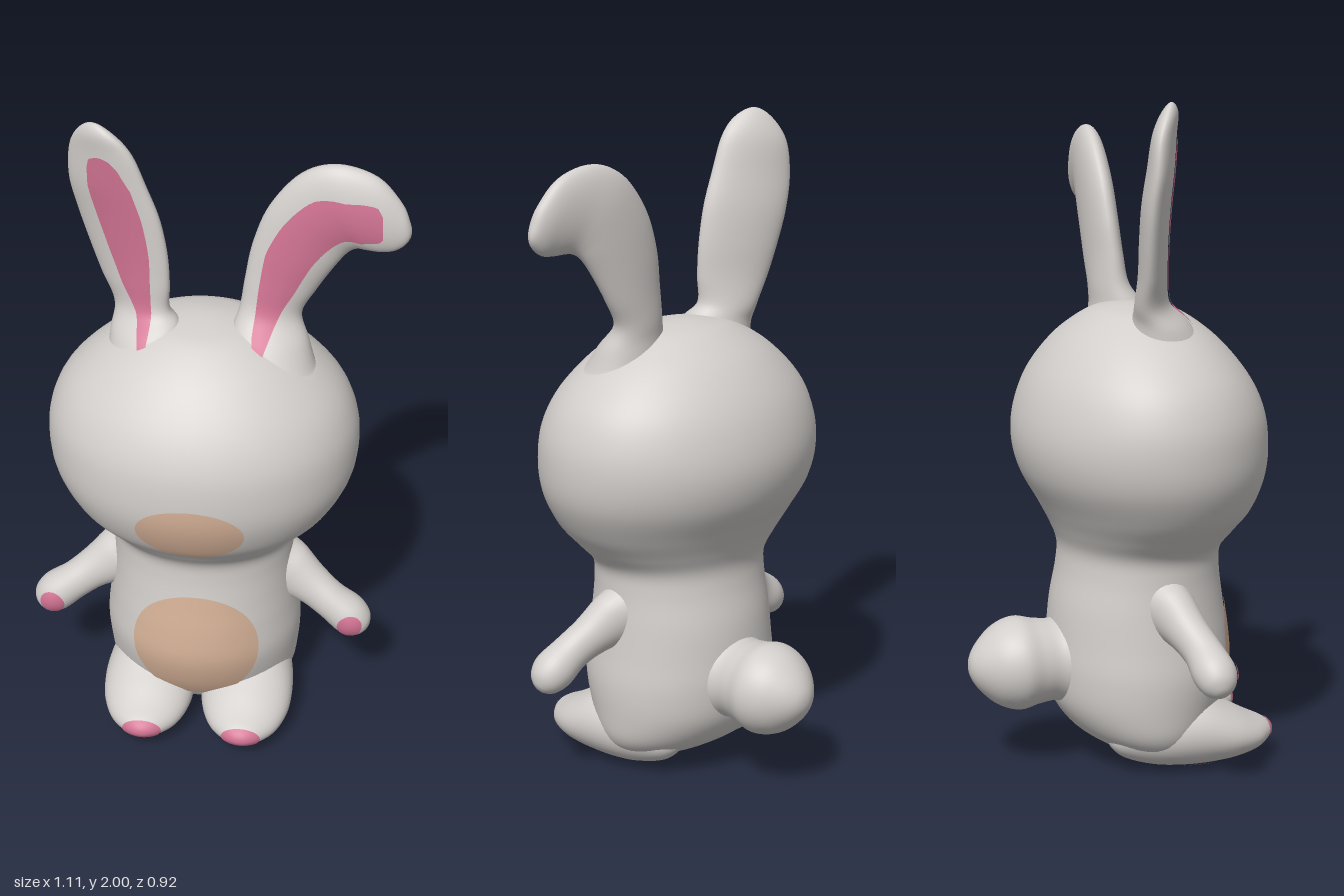
import * as THREE from 'three';
import { mergeVertices } from 'three/addons/utils/BufferGeometryUtils.js';

const fur = new THREE.MeshStandardMaterial({ name: 'grey fur', color: 0xd2cecb });
const tan = new THREE.MeshStandardMaterial({ name: 'tan patch', color: 0xd5b197 });
const pink = new THREE.MeshStandardMaterial({ name: 'pink skin', color: 0xd07392 });

const V = (x, y, z) => new THREE.Vector3(x, y, z);
const MID = -0.025; // the body's own centre line

// Smooth surface through elliptical rings {c, u, v}; s runs along the rings, a around them.
function surface(rings) {
  const n = rings.length - 1;
  const beyond = (end, next) => ({
    c: next.c, u: end.u.clone().multiplyScalar(2).sub(next.u), v: end.v.clone().multiplyScalar(2).sub(next.v),
  });
  const all = [beyond(rings[0], rings[1]), ...rings, beyond(rings[n], rings[n - 1])];
  const mix = (key, s) => {
    const i = Math.min(Math.floor(s), n - 1), t = s - i;
    const w = [(-t + 2 * t * t - t ** 3) / 2, (2 - 5 * t * t + 3 * t ** 3) / 2,
      (t + 4 * t * t - 3 * t ** 3) / 2, (t ** 3 - t * t) / 2];
    const out = V(0, 0, 0);
    w.forEach((k, j) => out.addScaledVector(all[i + j][key], k));
    return out;
  };
  const at = (s, a) => mix('c', s).addScaledVector(mix('u', s), Math.cos(a)).addScaledVector(mix('v', s), Math.sin(a));
  const m = n / 2;
  const along = mix('c', m + 0.1).sub(mix('c', m - 0.1));
  const flip = along.cross(mix('v', m)).dot(mix('u', m)) < 0;
  const normal = (s, a) => {
    const q = Math.min(Math.max(s, 0.03), n - 0.03);
    const d = at(q + 0.01, a).sub(at(q - 0.01, a)).cross(at(q, a + 0.01).sub(at(q, a - 0.01)));
    return d.normalize().multiplyScalar(flip ? -1 : 1);
  };
  // finds s where the ring centre reaches a value on one axis
  const direction = (axis) => Math.sign(rings[n].c[axis] - rings[0].c[axis]);
  const locate = (axis, value) => {
    let lo = 0, hi = n;
    for (let k = 0; k < 30; k++) {
      const mid = (lo + hi) / 2;
      if ((mix('c', mid)[axis] - value) * direction(axis) < 0) lo = mid; else hi = mid;
    }
    return lo;
  };
  return { n, at, normal, flip, direction, locate, radius: (s) => mix('u', s).length() };
}

// Grid mesh from a point rule f(i, j)
function gridMesh(name, material, rows, cols, f, flip) {
  const pos = [], idx = [];
  for (let i = 0; i <= rows; i++) for (let j = 0; j <= cols; j++) pos.push(...f(i, j).toArray());
  for (let i = 0; i < rows; i++) for (let j = 0; j < cols; j++) {
    const a = i * (cols + 1) + j, b = a + cols + 1;
    idx.push(...(flip ? [a, a + 1, b, b, a + 1, b + 1] : [a, b, a + 1, b, b + 1, a + 1]));
  }
  let g = new THREE.BufferGeometry();
  g.setAttribute('position', new THREE.Float32BufferAttribute(pos, 3));
  g.setIndex(idx);
  g = mergeVertices(g, 1e-5);
  g.computeVertexNormals();
  const mesh = new THREE.Mesh(g, material);
  mesh.name = name;
  return mesh;
}

const loft = (name, S, cols = 48, per = 6) => gridMesh(name, fur, S.n * per, cols,
  (i, j) => S.at(i / per, (j % cols) / cols * Math.PI * 2), S.flip);

// Thin painted patch; row(t) gives [s, half width, shift], the last two as shares of the ring
function patch(name, material, S, row, aMid, rows = 30, cols = 14) {
  return gridMesh(name, material, rows, cols, (i, j) => {
    const [s, w, shift = 0] = row(i / rows);
    const a = aMid + Math.asin(Math.min(w, 1) * (j / cols * 2 - 1) - shift);
    return S.at(s, a).addScaledVector(S.normal(s, a), 0.004);
  }, S.flip);
}

// Oval patch, measured along one axis
const oval = (name, material, S, axis, centre, half, width, aMid) => patch(name, material, S, (t) => {
  const th = (t - 0.5) * Math.PI;
  const s = S.locate(axis, centre + half * S.direction(axis) * Math.sin(th));
  return [s, width * Math.cos(th) / S.radius(s)];
}, aMid);

// Ear from [edge point, opposite edge point, half thickness]; stripe rows are [s, width, shift]
function ear(name, sections, stripe) {
  const S = surface(sections.map(([a, b, t]) => {
    const p = V(...a), q = V(...b);
    return { c: p.clone().add(q).multiplyScalar(0.5), u: q.clone().sub(p).multiplyScalar(0.5), v: V(0, 0, t) };
  }));
  const row = (t) => {
    const k = Math.min(Math.floor(t * (stripe.length - 1)), stripe.length - 2), f = t * (stripe.length - 1) - k;
    return [0, 1, 2].map((c) => stripe[k][c] + (stripe[k + 1][c] - stripe[k][c]) * f);
  };
  const g = new THREE.Group();
  g.name = name;
  g.add(loft(name + 'Shell', S, 36), patch(name + 'Inner', pink, S, row, Math.PI / 2, 48, 10));
  return g;
}

export function createModel() {
  const model = new THREE.Group();
  model.name = 'rabbit';
  const front = Math.PI / 2;

  // head and torso: y, half width, front z, back z
  const body = surface([
    [1.402, 0, 0.05, 0.05], [1.393, 0.1, 0.14, -0.02], [1.37, 0.19, 0.21, -0.08], [1.3, 0.305, 0.305, -0.17],
    [1.2, 0.405, 0.39, -0.245], [1.1, 0.452, 0.44, -0.285], [1.0, 0.463, 0.456, -0.297], [0.9, 0.447, 0.45, -0.275],
    [0.8, 0.395, 0.415, -0.22], [0.73, 0.335, 0.365, -0.185], [0.67, 0.285, 0.325, -0.165],
    [0.6, 0.278, 0.322, -0.17], [0.5, 0.285, 0.335, -0.19], [0.4, 0.295, 0.35, -0.2], [0.3, 0.305, 0.355, -0.205],
    [0.2, 0.3, 0.33, -0.19], [0.12, 0.287, 0.29, -0.14], [0.07, 0.25, 0.25, -0.075],
    [0.04, 0.18, 0.2, -0.01], [0.03, 0, 0.1, 0.1],
  ].map(([y, rx, f, b]) => ({ c: V(MID, y, (f + b) / 2), u: V(rx, 0, 0), v: V(0, 0, (f - b) / 2) })));
  model.add(loft('headAndTorso', body, 64));
  model.add(oval('muzzle', tan, body, 'y', 0.88, 0.102, 0.158, front));
  model.add(oval('belly', tan, body, 'y', 0.34, 0.21, 0.192, front));

  // tail
  model.add(loft('tail', surface([
    [-0.13, 0.16], [-0.19, 0.127], [-0.25, 0.13], [-0.31, 0.142], [-0.37, 0.123], [-0.42, 0.081], [-0.45, 0.038], [-0.458, 0],
  ].map(([z, r]) => ({ c: V(MID, 0.32, z), u: V(r, 0, 0), v: V(0, r, 0) })))));

  // arms and feet, mirrored about the centre line
  for (const [side, m] of [['left', 1], ['right', -1]]) {
    const arm = surface([
      [0.2, 0.505, 0.08, 0.13, 0.1], [0.265, 0.497, 0.093, 0.096, 0.076], [0.335, 0.463, 0.115, 0.068, 0.062],
      [0.4, 0.42, 0.138, 0.06, 0.058], [0.46, 0.376, 0.148, 0.064, 0.064], [0.497, 0.349, 0.15, 0.05, 0.05],
      [0.515, 0.335, 0.15, 0.025, 0.025], [0.52, 0.332, 0.15, 0, 0],
    ].map(([x, y, z, r, rz]) => ({ c: V(MID + m * x, y, z), u: V(m * 0.55 * r, 0.83 * r, 0), v: V(0, 0, rz) })));
    model.add(loft(side + 'Arm', arm, 32));
    model.add(oval(side + 'PalmSpot', pink, arm, 'x', MID + m * 0.466, 0.03, 0.038, front));

    // foot: z, bottom, top, half width
    const foot = surface([
      [-0.07, 0.1, 0.1, 0], [-0.05, 0.06, 0.15, 0.05], [0, 0.03, 0.2, 0.085], [0.09, 0.007, 0.23, 0.125],
      [0.2, 0, 0.23, 0.142], [0.3, 0.008, 0.185, 0.138], [0.38, 0.025, 0.142, 0.108], [0.43, 0.047, 0.118, 0.064],
      [0.452, 0.068, 0.1, 0.03], [0.458, 0.083, 0.083, 0],
    ].map(([z, b, t, rx]) => ({ c: V(MID + m * 0.155, (b + t) / 2, z), u: V(rx, 0, 0), v: V(0, (t - b) / 2, 0) })));
    model.add(loft(side + 'Foot', foot, 40));
    model.add(oval(side + 'Sole', pink, foot, 'z', 0.22, 0.11, 0.08, -front));
    const s0 = foot.locate('z', 0.434);
    model.add(gridMesh(side + 'ToeCap', pink, 10, 32, (i, j) => {
      const s = s0 + (foot.n - s0) * i / 10, a = (j % 32) / 32 * Math.PI * 2;
      return foot.at(s, a).addScaledVector(foot.normal(s, a), 0.003);
    }, foot.flip));
  }

  // upright ear
  model.add(ear('rightEar', [
    [[-0.31, 1.27, 0.1], [-0.07, 1.3, 0.12], 0.13], [[-0.298, 1.345, 0.07], [-0.09, 1.385, 0.1], 0.085],
    [[-0.292, 1.41, 0.025], [-0.122, 1.43, 0.085], 0.055], [[-0.33, 1.5, 0.01], [-0.12, 1.51, 0.09], 0.046],
    [[-0.365, 1.6, 0], [-0.125, 1.61, 0.09], 0.045], [[-0.395, 1.7, -0.005], [-0.145, 1.72, 0.09], 0.045],
    [[-0.415, 1.8, 0], [-0.18, 1.82, 0.09], 0.042], [[-0.408, 1.9, 0.01], [-0.22, 1.92, 0.09], 0.037],
    [[-0.375, 1.97, 0.04], [-0.27, 1.975, 0.085], 0.025], [[-0.328, 2, 0.065], [-0.328, 2, 0.065], 0],
  ], [[0.7, 0.1, 0], [1.2, 0.17, 0.05], [2, 0.26, 0.18], [3, 0.39, 0.1], [4, 0.48, 0.1], [5, 0.52, 0.1],
    [6, 0.53, 0.1], [6.6, 0.42, 0.05], [6.85, 0.3, 0], [6.95, 0.08, 0]]));

  // folded ear
  model.add(ear('leftEar', [
    [[0.04, 1.27, 0.12], [0.31, 1.27, 0.1], 0.13], [[0.055, 1.37, 0.09], [0.278, 1.35, 0.075], 0.085],
    [[0.077, 1.44, 0.06], [0.255, 1.42, 0.045], 0.056], [[0.09, 1.53, 0.05], [0.295, 1.5, 0.04], 0.05],
    [[0.11, 1.64, 0.04], [0.345, 1.585, 0.045], 0.05], [[0.155, 1.76, 0.035], [0.38, 1.635, 0.05], 0.05],
    [[0.24, 1.865, 0.035], [0.405, 1.655, 0.06], 0.05], [[0.34, 1.905, 0.045], [0.43, 1.658, 0.07], 0.048],
    [[0.45, 1.88, 0.055], [0.47, 1.657, 0.075], 0.04], [[0.52, 1.81, 0.065], [0.51, 1.664, 0.075], 0.03],
    [[0.546, 1.755, 0.07], [0.54, 1.688, 0.075], 0.018], [[0.553, 1.717, 0.07], [0.553, 1.717, 0.07], 0],
  ], [[0.7, 0.1, -0.25], [1.2, 0.22, -0.2], [2, 0.36, -0.08], [3, 0.48, -0.08], [4, 0.54, -0.1], [5, 0.55, 0],
    [6, 0.54, 0.07], [7, 0.49, 0.22], [8, 0.48, 0.12], [8.2, 0.33, 0.15]]));

  return model;
}
